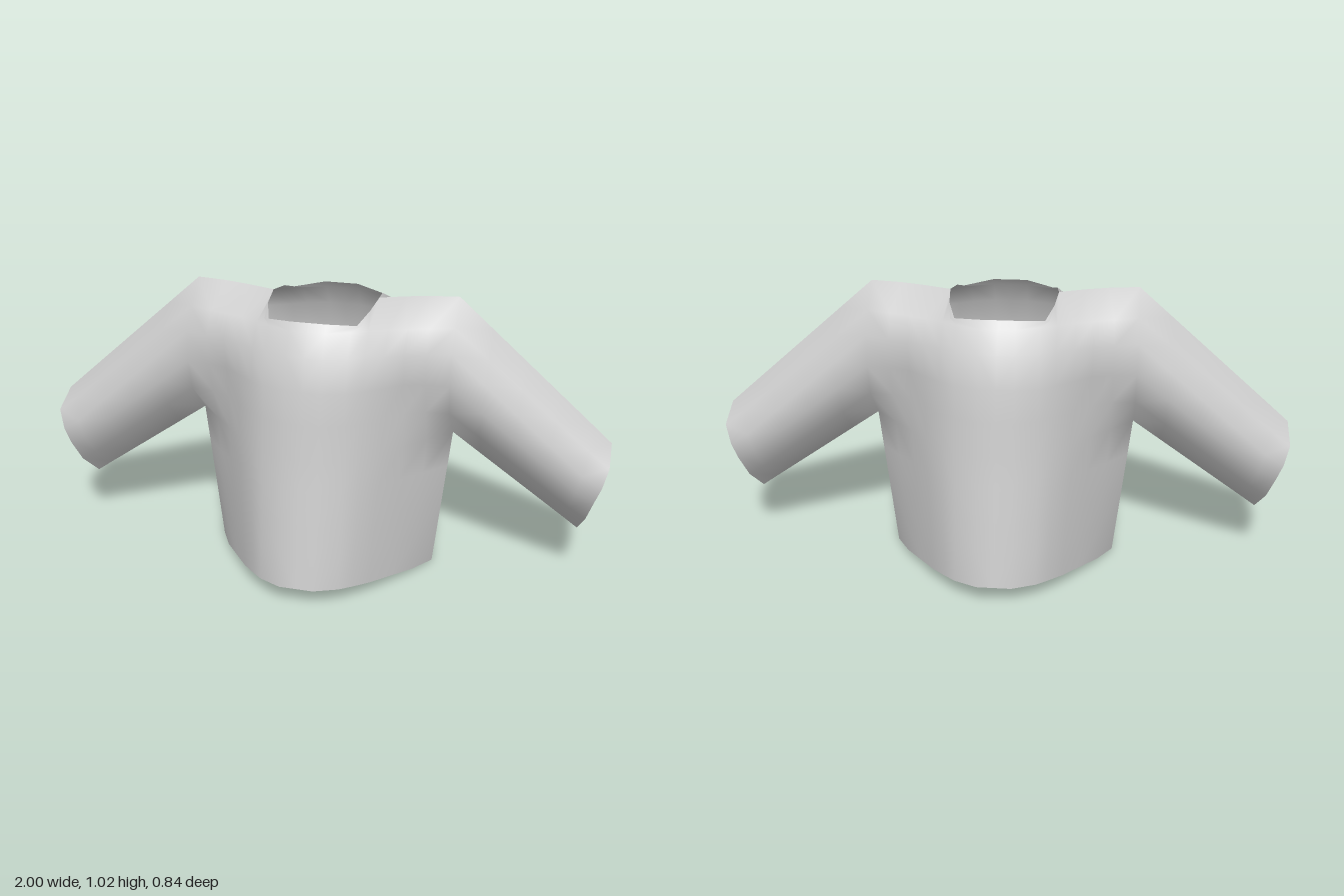
import * as THREE from 'three';
import { mergeVertices } from 'three/addons/utils/BufferGeometryUtils.js';

// Half-body columns, from the centre line out to the armhole
const HEM_X = [0, 0.06, 0.14, 0.18, 0.23, 0.29, 0.35, 0.405];
const HEM_Z = [0.42, 0.42, 0.375, 0.335, 0.28, 0.195, 0.11, 0];
const CHEST_X = [0, 0.06, 0.14, 0.19, 0.25, 0.31, 0.38, 0.46];
// Chest rows, from armpit height upward: y, then depth at each column
const ROWS = [
  [0.53, [0.345, 0.345, 0.315, 0.285, 0.235, 0.16, 0.085, 0]],
  [0.65, [0.33, 0.33, 0.305, 0.275, 0.225, 0.158, 0.125, 0.118]],
  [0.76, [0.315, 0.315, 0.295, 0.262, 0.218, 0.168, 0.15, 0.145]],
  [0.87, [0.29, 0.29, 0.268, 0.24, 0.21, 0.185, 0.165, 0.142]],
  [0.945, [0.247, 0.247, 0.212, 0.185, 0.157, 0.135, 0.11, 0.088]],
];
// Neckline, then the shoulder ridge
const TOP = [
  [0, 0.97, 0.227], [0.06, 0.97, 0.227], [0.165, 0.957, 0.18], [0.177, 0.985, 0.1],
  [0.187, 1.0, 0], [0.28, 1.012, 0], [0.36, 1.02, 0], [0.46, 1.025, 0],
];
// Sleeve rings above and at the cuff, from the lower seam to the upper seam
const FOREARM = [
  [0.856, 0.252, 0], [0.88, 0.33, 0.082], [0.9, 0.41, 0.122],
  [0.915, 0.475, 0.127], [0.926, 0.555, 0.092], [0.93, 0.612, 0],
];
const CUFF = [
  [0.915, 0.21, 0], [0.94, 0.29, 0.075], [0.962, 0.375, 0.113],
  [0.982, 0.43, 0.116], [1.0, 0.5, 0.1], [1.0, 0.55, 0],
];

const mix = (a, b, t) => a.map((v, i) => v + (b[i] - v) * t);

// Triangulates a grid of columns and mirrors it across x = 0
function addGrid(out, grid) {
  for (const side of [1, -1]) {
    const tri = (...p) => {
      if (side < 0) p.reverse();
      p.forEach(([x, y, z]) => out.push(x * side, y, z));
    };
    for (let c = 0; c < grid.length - 1; c++) {
      for (let r = 0; r < grid[c].length - 1; r++) {
        const a = grid[c][r], b = grid[c + 1][r], d = grid[c + 1][r + 1], e = grid[c][r + 1];
        tri(a, b, d);
        tri(a, d, e);
      }
    }
  }
}

// One smooth half of the garment: torso panel with both half sleeves
function panelGeometry() {
  const body = HEM_X.map((x, c) => {
    const hem = [x, HEM_Z[c] / 6, HEM_Z[c]];
    const chest = ROWS.map(([y, z]) => [CHEST_X[c], y, z[c]]);
    const lower = [0, 0.25, 0.5, 0.75].map((t) => mix(hem, chest[0], t));
    return [...lower, ...chest, TOP[c]];
  });
  const armhole = body[body.length - 1].slice(-CUFF.length);
  const upperArm = [0, 0.25, 0.5, 0.75, 1].map((t) =>
    armhole.map((p, r) => mix(p, FOREARM[r], t)));

  const positions = [];
  addGrid(positions, body);
  addGrid(positions, [...upperArm, CUFF]);
  let geometry = new THREE.BufferGeometry();
  geometry.setAttribute('position', new THREE.Float32BufferAttribute(positions, 3));
  geometry = mergeVertices(geometry, 1e-4);
  geometry.computeVertexNormals();
  return geometry;
}

export function createModel() {
  const cloth = new THREE.MeshStandardMaterial({ color: 0xcccccc, side: THREE.DoubleSide });
  cloth.name = 'lightGreyCloth';

  const group = new THREE.Group();
  group.name = 'sweater';

  const geometry = panelGeometry();
  const front = new THREE.Mesh(geometry, cloth);
  front.name = 'frontPanel';

  // The back is the same panel turned around, meeting at the seams
  const back = new THREE.Mesh(geometry, cloth);
  back.name = 'backPanel';
  back.rotation.y = Math.PI;

  group.add(front, back);
  return group;
}
